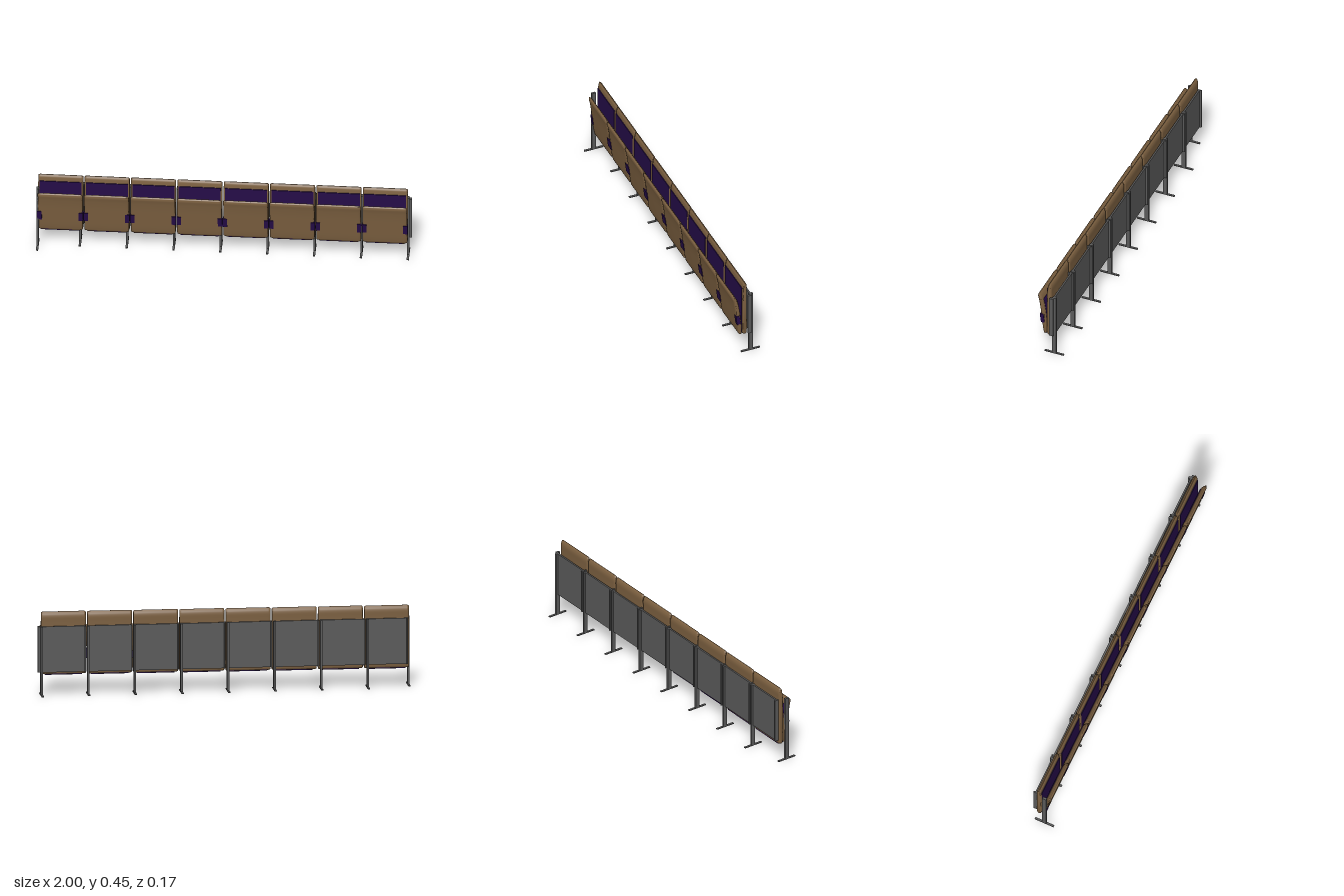
import * as THREE from 'three';
import { toCreasedNormals } from 'three/addons/utils/BufferGeometryUtils.js';

const wood = new THREE.MeshStandardMaterial({ color: 0x7c6040 });
wood.name = 'brown shell';
const fabric = new THREE.MeshStandardMaterial({ color: 0x250c48 });
fabric.name = 'purple upholstery';
const steel = new THREE.MeshStandardMaterial({ color: 0x5a5a5a });
steel.name = 'grey steel';

const SEATS = 8, PITCH = 0.2475, FIRST = -0.873;

// Box given by its limits on each axis
function box(name, material, [x0, x1], [y0, y1], [z0, z1]) {
  const mesh = new THREE.Mesh(new THREE.BoxGeometry(x1 - x0, y1 - y0, z1 - z0), material);
  mesh.position.set((x0 + x1) / 2, (y0 + y1) / 2, (z0 + z1) / 2);
  mesh.name = name;
  return mesh;
}

// Smooth closed side profile of [z, y] points, extruded across x with rounded ends
function shell(points, width, endLength, endInset) {
  const curve = new THREE.CatmullRomCurve3(
    points.map(([z, y]) => new THREE.Vector3(-z, y, 0)), true, 'centripetal');
  const shape = new THREE.Shape(curve.getPoints(48).slice(0, -1).map(p => new THREE.Vector2(p.x, p.y)));
  const geometry = new THREE.ExtrudeGeometry(shape, {
    depth: width - 2 * endLength, steps: 1, bevelEnabled: true,
    bevelThickness: endLength, bevelSize: endInset, bevelOffset: -endInset, bevelSegments: 4,
  });
  geometry.translate(0, 0, -(width / 2 - endLength));
  geometry.rotateY(Math.PI / 2);
  return toCreasedNormals(geometry, 0.7);
}

function named(name, geometry, material) {
  const mesh = new THREE.Mesh(geometry, material);
  mesh.name = name;
  return mesh;
}

export function createModel() {
  const model = new THREE.Group();
  model.name = 'rowOfFoldingSeats';

  const backShell = shell([
    [0.014, 0.114], [0.017, 0.13], [0.017, 0.25], [0.017, 0.39], [0.014, 0.415], [0.009, 0.441],
    [0.003, 0.448], [-0.004, 0.442], [-0.010, 0.425], [-0.010, 0.39], [-0.010, 0.25], [-0.010, 0.13],
    [-0.006, 0.112], [0.004, 0.109],
  ], 0.24, 0.012, 0.005);

  const seatShell = shell([
    [0.070, 0.359], [0.064, 0.325], [0.057, 0.28], [0.048, 0.2], [0.039, 0.13], [0.034, 0.114],
    [0.024, 0.112], [0.018, 0.122], [0.022, 0.2], [0.031, 0.28], [0.040, 0.325], [0.052, 0.355],
    [0.063, 0.366],
  ], 0.238, 0.02, 0.006);

  // Upholstered face of the raised seat, turned towards the back
  const seatCushion = shell([
    [0.034, 0.118], [0.031, 0.108], [0.022, 0.105], [0.016, 0.112], [0.016, 0.13], [0.020, 0.2],
    [0.029, 0.28], [0.039, 0.33], [0.043, 0.33], [0.036, 0.28], [0.028, 0.2], [0.028, 0.14],
  ], 0.208, 0.008, 0.002);

  for (let i = 0; i < SEATS; i++) {
    const seat = new THREE.Group();
    seat.name = 'foldingSeat';
    const shift = (i - SEATS + 1) * 0.0012;
    seat.position.set(FIRST + i * PITCH, shift, shift);
    seat.add(named('backrest', backShell, wood));
    seat.add(named('seatShell', seatShell, wood));
    seat.add(named('seatCushion', seatCushion, fabric));
    seat.add(box('backrestPad', fabric, [-0.112, 0.112], [0.125, 0.412], [0.012, 0.0185]));
    seat.add(box('backrestPadEnd', fabric, [-0.1, 0.1], [0.106, 0.125], [-0.005, 0.011]));
    // Hinge covers on both edges of the seat
    for (const side of [-1, 1]) {
      const cover = box('hingeCover', fabric, [-0.012, 0.012], [0.185, 0.24], [0.032, 0.052]);
      cover.position.x = side * 0.1105;
      cover.rotation.x = 0.12;
      seat.add(cover);
    }
    model.add(seat);
  }

  // Legs: the first one is turned round, so its post stands in front
  for (let i = 0; i <= SEATS; i++) {
    const leg = new THREE.Group();
    leg.name = 'leg';
    leg.position.x = i === 0 ? -0.994 : -0.77 + (i - 1) * 0.25;
    leg.add(box('post', steel, [-0.006, 0.006], [0, 0.372], [-0.041, -0.018]));
    leg.add(box('foot', steel, [-0.006, 0.006], [0, 0.005], [-0.083, 0.027]));
    if (i === 0) leg.rotation.y = Math.PI;
    model.add(leg);
  }

  // Rear panels with an upright flange at each joint
  for (let i = 0; i < SEATS; i++) {
    const x0 = i === 0 ? -0.985 : -0.77 + (i - 1) * 0.25 + 0.014;
    const x1 = -0.77 + i * 0.25 + 0.008;
    model.add(box('rearPanel', steel, [x0, x1], [0.124, 0.372], [-0.031, -0.022]));
    model.add(box('panelFlange', steel, [x0, x0 + 0.007], [0.124, 0.372], [-0.041, -0.008]));
  }
  model.add(box('endFlange', steel, [0.988, 1], [0.124, 0.372], [-0.028, -0.007]));

  return model;
}
